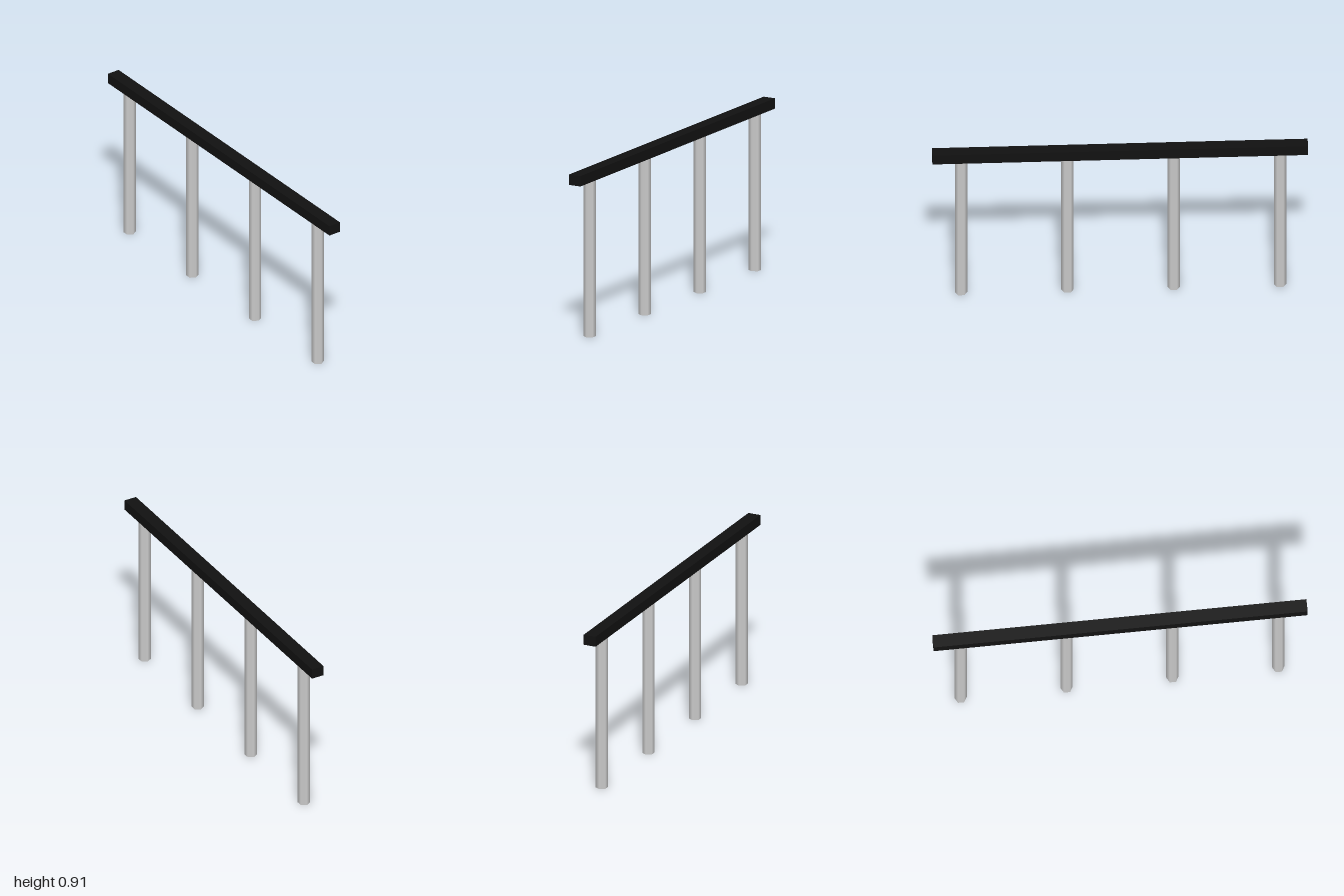
import * as THREE from 'three';

const RAIL_BOTTOM = 0.857;
const RAIL_TOP = 0.914;
const POST_RADIUS = 0.033;
const POST_SPACING = 0.566;
const POST_COUNT = 4;

export function createModel() {
  const model = new THREE.Group();
  model.name = 'railing';

  const postMaterial = new THREE.MeshStandardMaterial({ color: 0xcccccc });
  const railMaterial = new THREE.MeshStandardMaterial({ color: 0x111111 });

  // Square handrail running the full length
  const railHeight = RAIL_TOP - RAIL_BOTTOM;
  const rail = new THREE.Mesh(new THREE.BoxGeometry(2, railHeight, 0.07), railMaterial);
  rail.name = 'handrail';
  rail.position.y = RAIL_BOTTOM + railHeight / 2;
  model.add(rail);

  // Evenly spaced six-sided posts, with corners pointing along the rail
  const postGeometry = new THREE.CylinderGeometry(POST_RADIUS, POST_RADIUS, RAIL_BOTTOM, 6);
  postGeometry.rotateY(Math.PI / 2);
  for (let i = 0; i < POST_COUNT; i++) {
    const post = new THREE.Mesh(postGeometry, postMaterial);
    post.name = `post${i + 1}`;
    post.position.set((i - (POST_COUNT - 1) / 2) * POST_SPACING - 0.003, RAIL_BOTTOM / 2, 0);
    model.add(post);
  }

  return model;
}
